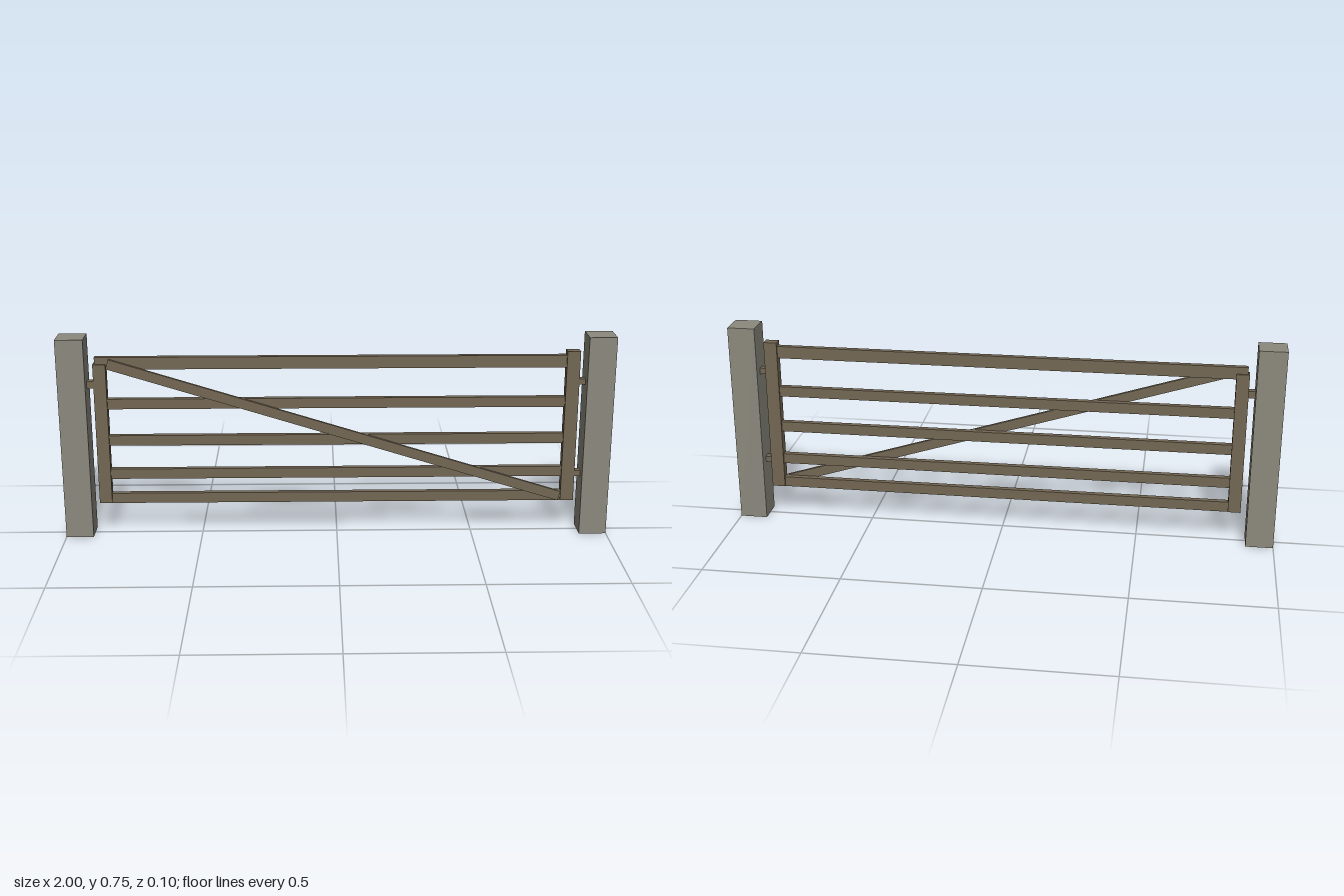
import * as THREE from 'three';

export function createModel() {
  const gate = new THREE.Group();
  gate.name = 'fieldGate';
  const stone = new THREE.MeshStandardMaterial({ color: 0x8c897d });
  stone.name = 'weatheredPost';
  const wood = new THREE.MeshStandardMaterial({ color: 0x736753 });
  wood.name = 'brownTimber';

  // Box given by its minimum and maximum on each axis
  function block(name, material, [x0, x1], [y0, y1], [z0, z1]) {
    const mesh = new THREE.Mesh(new THREE.BoxGeometry(x1 - x0, y1 - y0, z1 - z0), material);
    mesh.position.set((x0 + x1) / 2, (y0 + y1) / 2, (z0 + z1) / 2);
    mesh.name = name;
    gate.add(mesh);
    return mesh;
  }

  // Square posts at both ends
  block('rightPost', stone, [-1, -0.9], [0, 0.75], [-0.05, 0.05]);
  block('leftPost', stone, [0.9, 1], [0, 0.75], [-0.05, 0.05]);

  // Upright stiles of the gate
  block('latchStile', wood, [-0.876, -0.83], [0.12, 0.65], [-0.02, 0.015]);
  block('hingeStile', wood, [0.83, 0.878], [0.12, 0.69], [-0.02, 0.015]);

  // Horizontal rails; the top one runs over the latch stile
  const railDepth = [-0.013, 0.008];
  block('topRail', wood, [-0.87, 0.83], [0.63, 0.675], railDepth);
  for (const y of [0.137, 0.232, 0.361, 0.5]) {
    block('rail', wood, [-0.83, 0.83], [y - 0.019, y + 0.019], railDepth);
  }

  // Diagonal brace on the front of the rails
  const a = new THREE.Vector2(-0.824, 0.652);
  const b = new THREE.Vector2(0.824, 0.138);
  const half = a.distanceTo(b) / 2;
  const brace = block('diagonalBrace', wood, [-half, half], [-0.018, 0.018], [0.008, 0.02]);
  brace.position.set((a.x + b.x) / 2, (a.y + b.y) / 2, 0.014);
  brace.rotation.z = Math.atan2(b.y - a.y, b.x - a.x);

  // Latch and hinges bridging the gaps to the posts
  block('latch', wood, [-0.905, -0.87], [0.562, 0.588], [-0.013, 0.013]);
  for (const y of [0.225, 0.577]) {
    block('hinge', wood, [0.87, 0.905], [y - 0.011, y + 0.011], [-0.013, 0.013]);
  }
  return gate;
}
